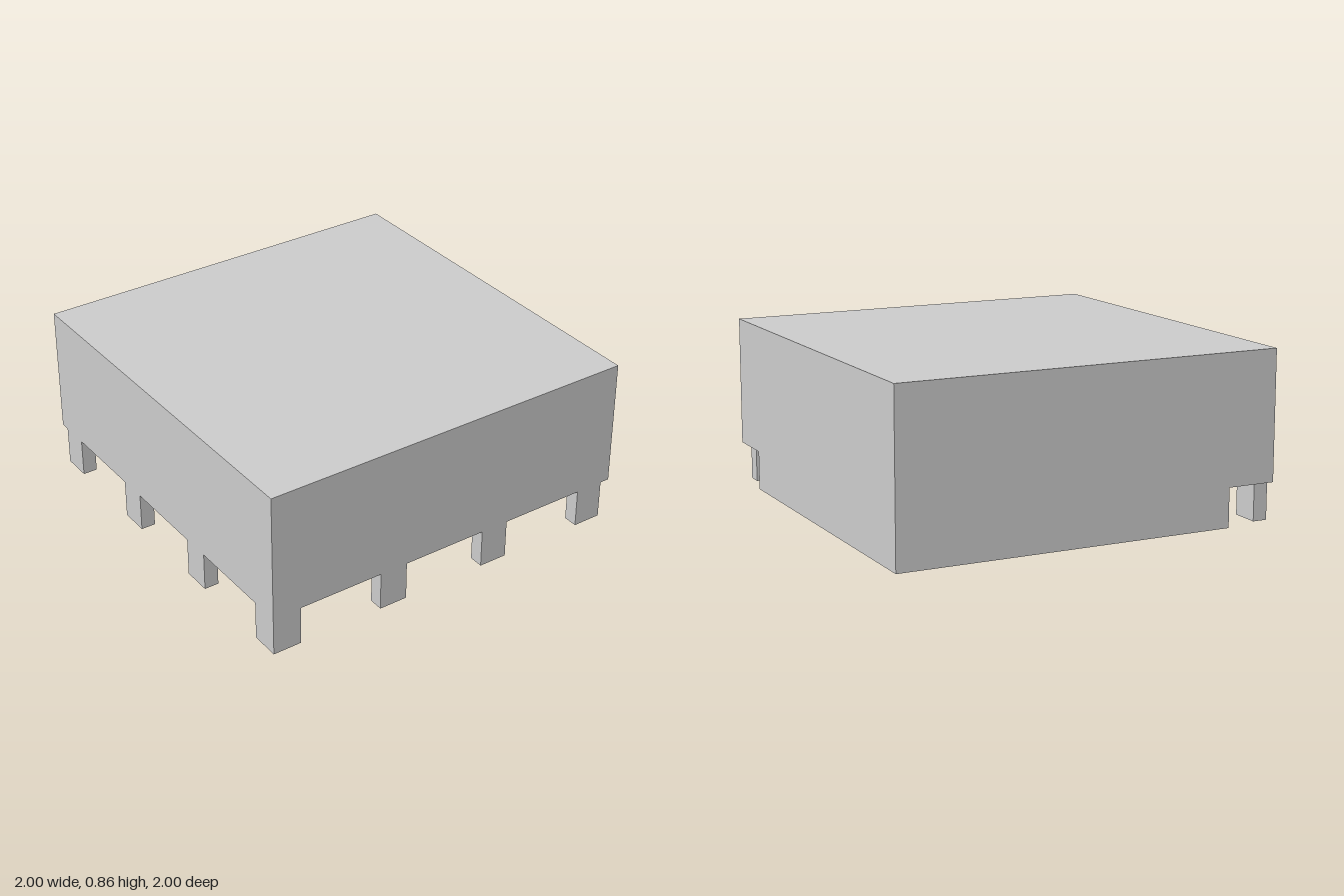
import * as THREE from 'three';

const TOP = 0.86, LEDGE = 0.2;
const LEG_W = 0.15, LEG_D = 0.075;

export function createModel() {
  const model = new THREE.Group();
  const material = new THREE.MeshStandardMaterial({ color: 0xcccccc, flatShading: true });

  // Box given by its minimum and maximum corners
  function block(name, [x0, y0, z0], [x1, y1, z1]) {
    const mesh = new THREE.Mesh(new THREE.BoxGeometry(x1 - x0, y1 - y0, z1 - z0), material);
    mesh.position.set((x0 + x1) / 2, (y0 + y1) / 2, (z0 + z1) / 2);
    mesh.name = name;
    model.add(mesh);
  }

  // Main slab, overhanging a base that is set back at the front and at -x
  block('upperBlock', [-1, LEDGE, -1], [1, TOP, 1]);
  block('base', [-0.75, 0, -1], [1, LEDGE, 0.75]);

  // Thin legs along both overhanging edges, flush with the outer walls
  for (let i = 1; i <= 3; i++) {
    const s = -1 + 0.6 * i;
    block('frontLeg', [s, 0, 1 - LEG_D], [s + LEG_W, LEDGE, 1]);
    block('sideLeg', [-1, 0, -s - LEG_W], [-1 + LEG_D, LEDGE, -s]);
  }

  // L-shaped leg on the shared corner (shape y maps to -z)
  const corner = new THREE.Shape([
    [-1, -1], [-1 + LEG_W, -1], [-1 + LEG_W, -1 + LEG_D],
    [-1 + LEG_D, -1 + LEG_D], [-1 + LEG_D, -1 + LEG_W], [-1, -1 + LEG_W],
  ].map(([x, y]) => new THREE.Vector2(x, y)));
  const cornerLeg = new THREE.Mesh(
    new THREE.ExtrudeGeometry(corner, { depth: LEDGE, bevelEnabled: false }), material);
  cornerLeg.rotation.x = -Math.PI / 2;
  cornerLeg.name = 'cornerLeg';
  model.add(cornerLeg);

  return model;
}
